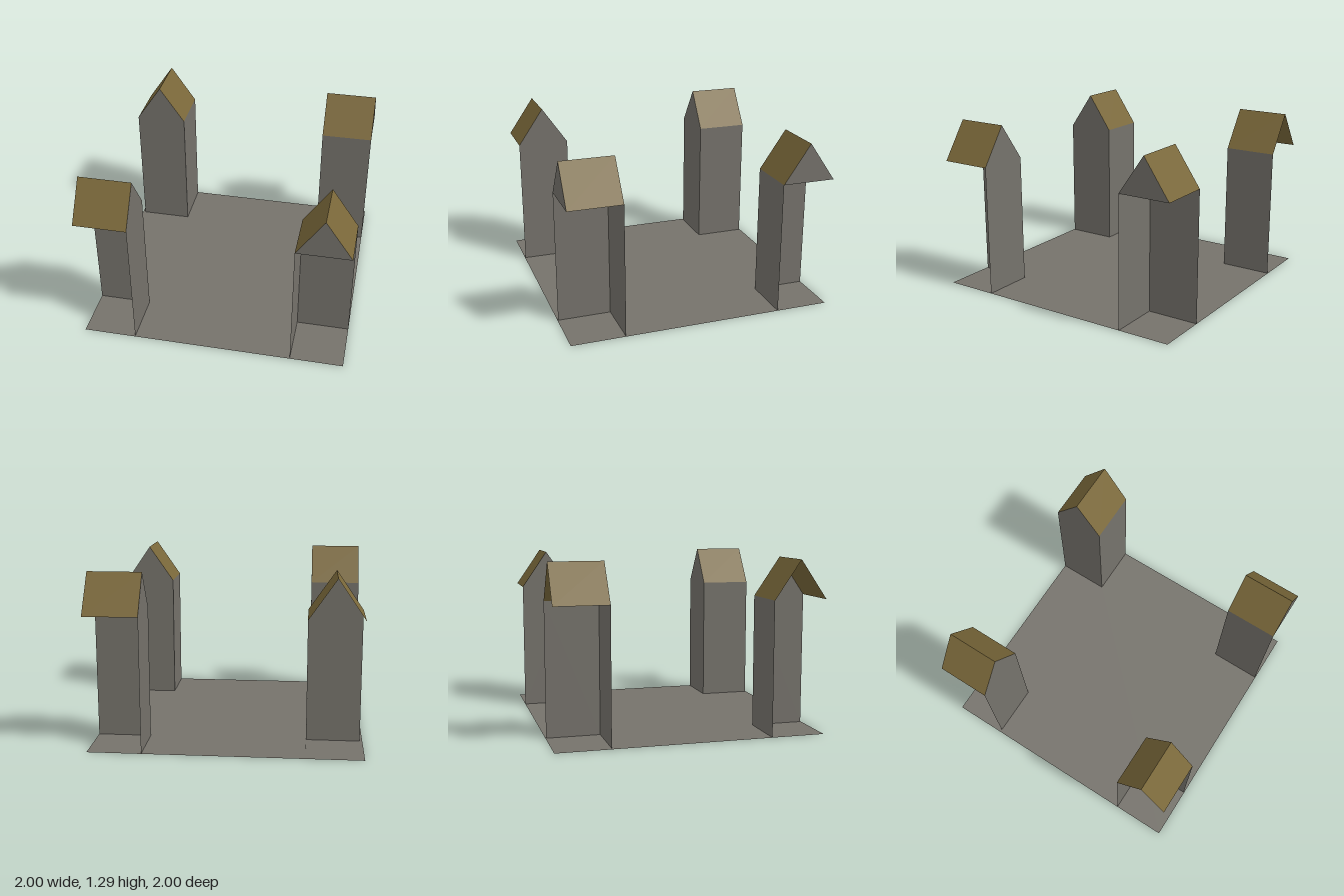
import * as THREE from 'three';

const stone = new THREE.MeshStandardMaterial({ color: 0x75726b, side: THREE.DoubleSide });
stone.name = 'grey stone';
const tile = new THREE.MeshStandardMaterial({ color: 0x7a683a, side: THREE.DoubleSide });
tile.name = 'ochre roof';

const H = 0.2;      // half width of a tower
const EAVE = 1.0;
const RIDGE = 1.29;

// Flat sheet from a convex loop of corners
function panel(name, corners, material) {
  const index = [];
  for (let i = 1; i < corners.length - 1; i++) index.push(0, i, i + 1);
  const indexed = new THREE.BufferGeometry();
  indexed.setAttribute('position', new THREE.Float32BufferAttribute(corners.flat(), 3));
  indexed.setIndex(index);
  const geometry = indexed.toNonIndexed();
  geometry.computeVertexNormals();
  const mesh = new THREE.Mesh(geometry, material);
  mesh.name = name;
  return mesh;
}

// Corner tower: two inner walls and a gabled roof, outer sides left open
function tower(name, outerGable) {
  const g = new THREE.Group();
  g.name = name;
  g.add(panel('gableWall', [
    [H, 0, -H], [-H, 0, -H], [-H, EAVE, -H], [0, RIDGE, -H], [H, EAVE, -H],
  ], stone));
  g.add(panel('sideWall', [
    [-H, 0, -H], [-H, 0, H], [-H, EAVE, H], [-H, EAVE, -H],
  ], stone));
  g.add(panel('roofSlopeInner', [
    [-H, EAVE, -H], [-H, EAVE, H], [0, RIDGE, H], [0, RIDGE, -H],
  ], tile));
  g.add(panel('roofSlopeOuter', [
    [H, EAVE, H], [H, EAVE, -H], [0, RIDGE, -H], [0, RIDGE, H],
  ], tile));
  if (outerGable) {
    g.add(panel('outerGable', [[-H, EAVE, H], [H, EAVE, H], [0, RIDGE, H]], stone));
  }
  return g;
}

export function createModel() {
  const model = new THREE.Group();
  model.name = 'fourTowers';

  // Ground slab
  model.add(panel('base', [[-1, 0, 1], [1, 0, 1], [1, 0, -1], [-1, 0, -1]], stone));

  // Towers, each a quarter turn on from the last
  const towers = [
    ['frontLeftTower', 0.8, 0.795, 0, true],
    ['backLeftTower', 0.8, -0.8, 1, true],
    ['backRightTower', -0.78, -0.795, 2, false],
    ['frontRightTower', -0.8, 0.795, 3, false],
  ];
  for (const [name, x, z, turns, outerGable] of towers) {
    const t = tower(name, outerGable);
    t.position.set(x, 0, z);
    t.rotation.y = turns * Math.PI / 2;
    model.add(t);
  }
  return model;
}
